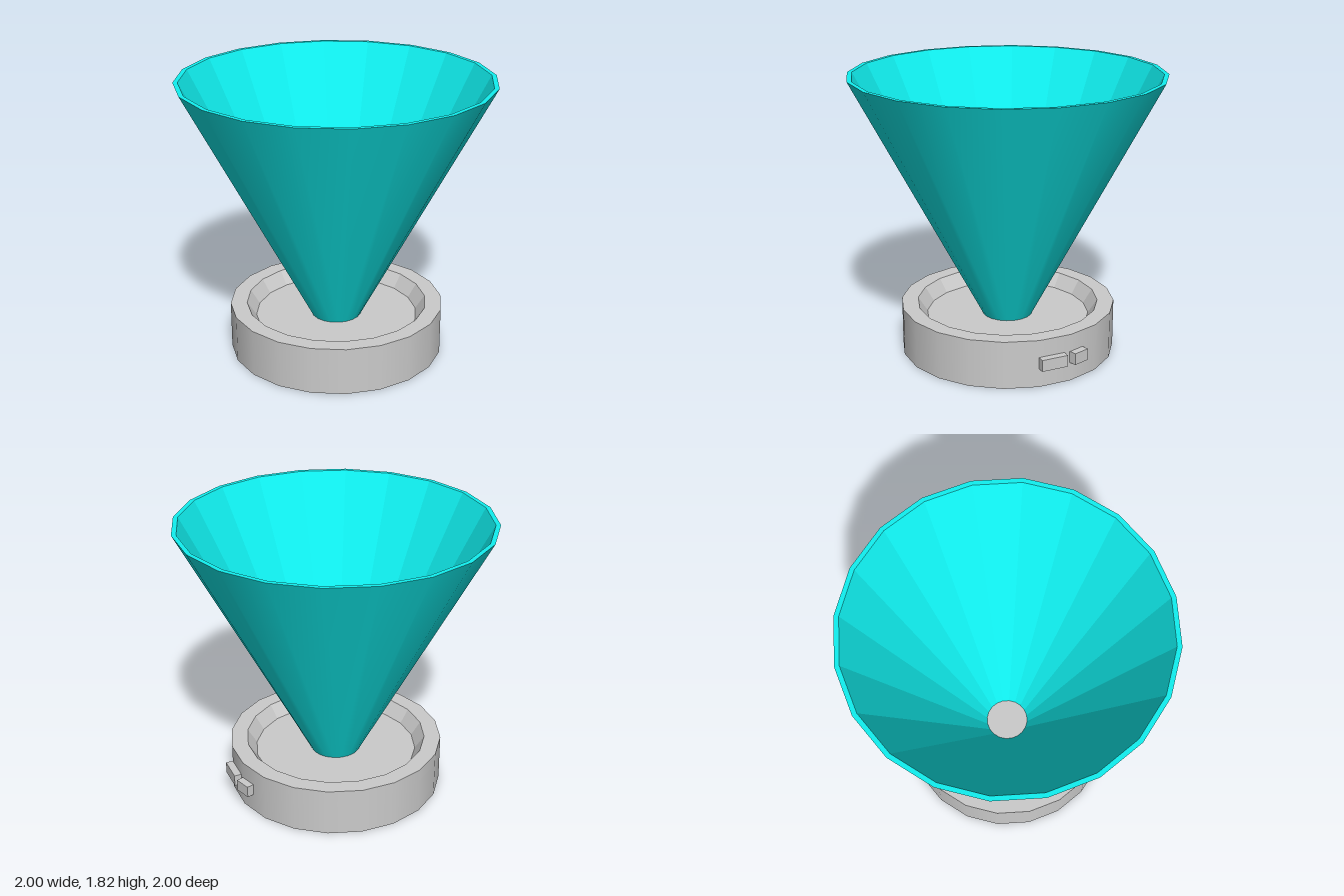
import * as THREE from 'three';

const SIDES = 20;
const grey = new THREE.MeshStandardMaterial({ color: 0xcccccc });
const greyFlat = new THREE.MeshStandardMaterial({ color: 0xcccccc, flatShading: true });
const cyan = new THREE.MeshStandardMaterial({ color: 0x10f0f0 });
const cyanFlat = new THREE.MeshStandardMaterial({ color: 0x10f0f0, flatShading: true });

// Turned surface from [radius, height] pairs
function turned(name, profile, material) {
  const points = profile.map(([r, y]) => new THREE.Vector2(r, y));
  const mesh = new THREE.Mesh(new THREE.LatheGeometry(points, SIDES), material);
  mesh.name = name;
  return mesh;
}

// Block on a side facet of the base; angle is measured from the back (-z) towards +x
function sideBlock(name, degrees, from, to) {
  const holder = new THREE.Group();
  holder.name = name;
  const mesh = new THREE.Mesh(new THREE.BoxGeometry(to - from, 0.075, 0.085), grey);
  mesh.name = name + 'Body';
  mesh.position.set((from + to) / 2, 0.16, 0.693);
  holder.add(mesh);
  holder.rotation.y = Math.PI - THREE.MathUtils.degToRad(degrees);
  return holder;
}

export function createModel() {
  const model = new THREE.Group();
  model.name = 'funnelOnBase';

  // Dish-shaped base: smooth outer wall, faceted recess
  const base = new THREE.Group();
  base.name = 'base';
  base.add(
    turned('baseWall', [[0.697, 0], [0.697, 0.31]], grey),
    turned('baseUnderside', [[0, 0], [0.697, 0]], greyFlat),
    turned('baseRecess', [[0.697, 0.31], [0.59, 0.31], [0.53, 0.22], [0, 0.22]], greyFlat)
  );

  // Two small blocks on the back left of the base
  base.add(
    sideBlock('wideBlock', 45, -0.064, 0.11),
    sideBlock('narrowBlock', 27, 0.007, 0.117)
  );
  for (const block of base.children.slice(3)) block.children[0].position.x *= -1;

  // Hollow cone standing in the recess
  const cone = new THREE.Group();
  cone.name = 'cone';
  cone.add(
    turned('coneOutside', [[0.162, 0.22], [1, 1.815]], cyan),
    turned('coneInside', [[1, 1.815], [0.97, 1.815], [0.14, 0.22]], cyanFlat)
  );

  model.add(base, cone);
  return model;
}
